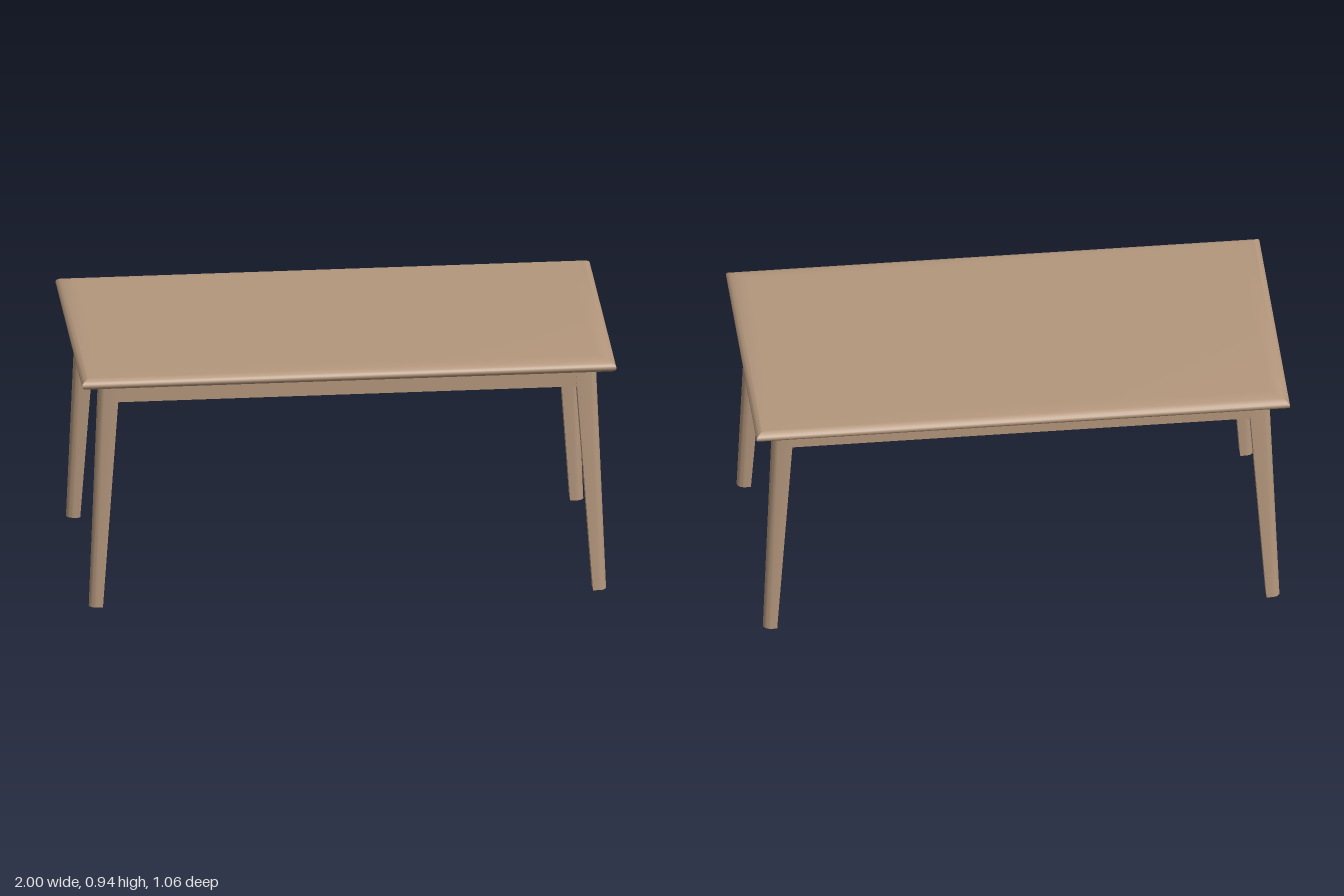
import * as THREE from 'three';
import { toCreasedNormals } from 'three/addons/utils/BufferGeometryUtils.js';

// Joins a stack of equal-sized rings, bottom to top, and caps both ends.
function loft(rings) {
  const n = rings[0].length;
  const points = rings.flat();
  const index = [];
  for (let r = 0; r < rings.length - 1; r++) {
    for (let i = 0; i < n; i++) {
      const a = r * n + i, b = r * n + (i + 1) % n;
      index.push(a, b, b + n, a, b + n, a + n);
    }
  }
  const last = (rings.length - 1) * n;
  for (let i = 1; i < n - 1; i++) {
    index.push(0, i + 1, i, last, last + i, last + i + 1);
  }
  const geometry = new THREE.BufferGeometry();
  geometry.setAttribute('position', new THREE.Float32BufferAttribute(points.flat(), 3));
  geometry.setIndex(index);
  return toCreasedNormals(geometry, 0.5);
}

// Mitred rectangular slab with a half-ellipse edge.
function topGeometry() {
  const steps = 24, inset = 0.075, yMid = 0.908, halfThick = 0.029;
  const rings = [];
  for (let s = 0; s <= steps; s++) {
    const t = -Math.PI / 2 + Math.PI * s / steps;
    const d = inset * (1 - Math.cos(t));
    const x = 1 - d, z = 0.532 - d, y = yMid + halfThick * Math.sin(t);
    rings.push([[-x, y, z], [x, y, z], [x, y, -z], [-x, y, -z]]);
  }
  return loft(rings);
}

// Leg section: flat on the inside, rounded towards the table end.
function legRing(sx, sz, y, inner, outer, zMid, half) {
  const round = 0.03, steps = 14;
  const ring = [[sx * inner, y, sz * zMid + sx * half]];
  for (let i = 0; i <= steps; i++) {
    const a = Math.PI * i / steps;
    ring.push([sx * (outer - round + round * Math.sin(a)), y, sz * zMid + sx * half * Math.cos(a)]);
  }
  ring.push([sx * inner, y, sz * zMid - sx * half]);
  return ring;
}

export function createModel() {
  const group = new THREE.Group();
  group.name = 'table';
  const wood = new THREE.MeshStandardMaterial({ color: 0xb4977d });
  wood.name = 'wood';

  const add = (name, geometry, x = 0, y = 0, z = 0) => {
    const mesh = new THREE.Mesh(geometry, wood);
    mesh.name = name;
    mesh.position.set(x, y, z);
    group.add(mesh);
  };

  add('tableTop', topGeometry());

  // Tapered, splayed legs
  for (const sx of [-1, 1]) {
    for (const sz of [-1, 1]) {
      const name = (sz > 0 ? 'front' : 'back') + (sx > 0 ? 'Left' : 'Right') + 'Leg';
      add(name, loft([
        legRing(sx, sz, 0, 0.917, 0.968, 0.454, 0.026),
        legRing(sx, sz, 0.89, 0.853, 0.932, 0.431, 0.032),
      ]));
    }
  }

  // Apron rails between the legs
  for (const s of [-1, 1]) {
    add(s > 0 ? 'frontApron' : 'backApron',
      new THREE.BoxGeometry(1.75, 0.073, 0.053), 0, 0.8485, s * 0.433);
    add(s > 0 ? 'leftApron' : 'rightApron',
      new THREE.BoxGeometry(0.05, 0.073, 0.83), s * 0.89, 0.8485, 0);
  }

  return group;
}
